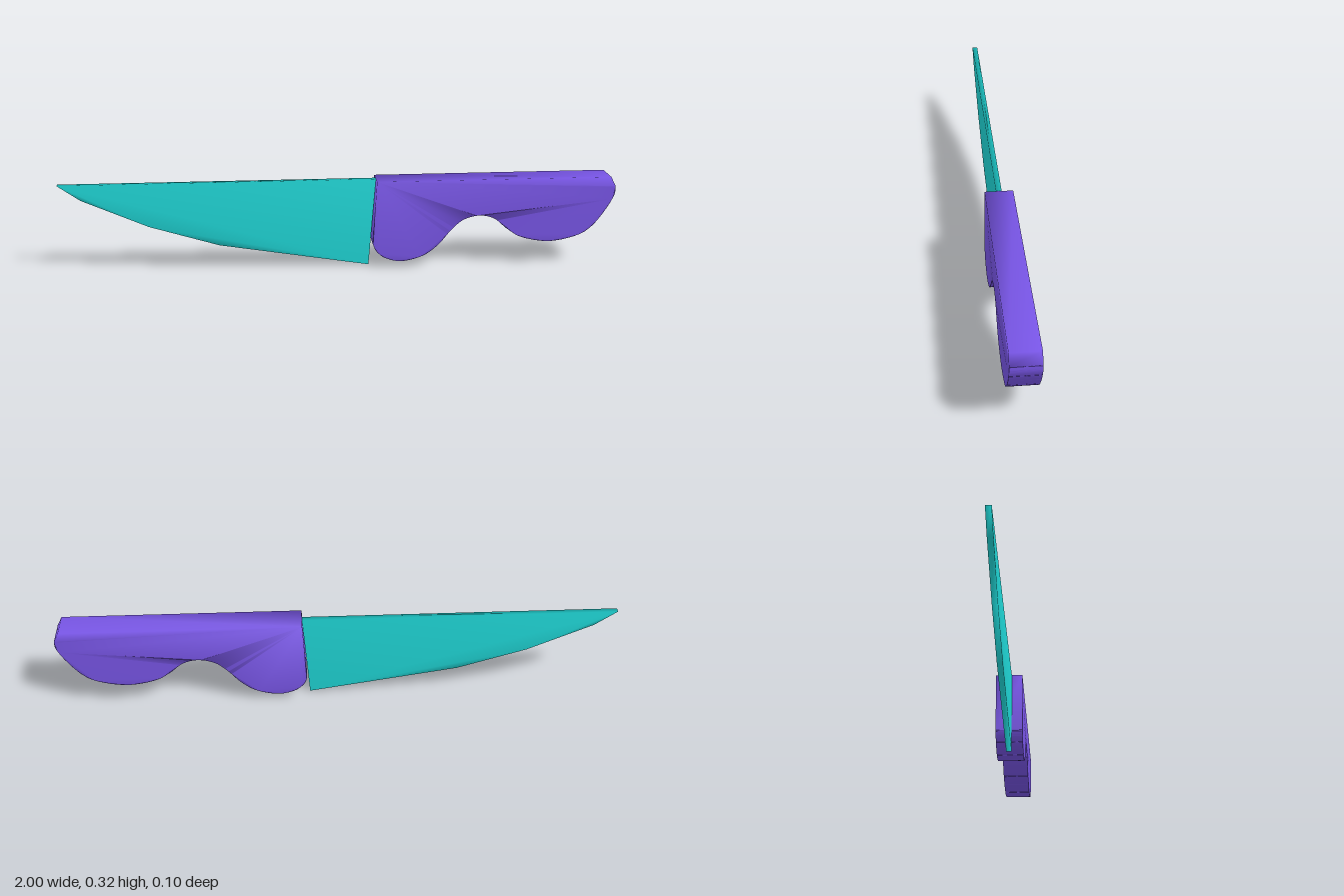
import * as THREE from 'three';
import { mergeVertices } from 'three/addons/utils/BufferGeometryUtils.js';

const TOP = 0.323;

// Extrudes a side outline to a slab centred on z = 0, with soft shading across its edges
function slab(name, shape, thickness, color) {
  let geo = new THREE.ExtrudeGeometry(shape, { depth: thickness, bevelEnabled: false, curveSegments: 24 });
  geo.translate(0, 0, -thickness / 2);
  geo.deleteAttribute('normal');
  geo.deleteAttribute('uv');
  geo = mergeVertices(geo, 1e-5);
  geo.computeVertexNormals();
  const mesh = new THREE.Mesh(geo, new THREE.MeshStandardMaterial({ color }));
  mesh.name = name;
  return mesh;
}

const points = (list) => list.map(([x, y]) => new THREE.Vector2(x, y));

export function createModel() {
  const knife = new THREE.Group();
  knife.name = 'knife';

  // Blade: straight spine, faceted belly rising to the tip
  const blade = new THREE.Shape(points([
    [-1, TOP], [-0.92, 0.267], [-0.685, 0.164], [-0.435, 0.088], [0.105, 0], [0.13, TOP],
  ]));
  knife.add(slab('blade', blade, 0.02, 0x1fd6d6));

  // Handle: flat top, underside curving round two finger swells
  const handle = new THREE.Shape();
  handle.moveTo(0.13, TOP);
  handle.lineTo(0.116, 0.092);
  handle.splineThru(points([
    [0.13, 0.062], [0.165, 0.035], [0.225, 0.023], [0.3, 0.042], [0.355, 0.082], [0.4, 0.135],
    [0.445, 0.174], [0.505, 0.189], [0.56, 0.175], [0.607, 0.136], [0.665, 0.102], [0.765, 0.085],
    [0.865, 0.104], [0.92, 0.138], [0.968, 0.2], [0.997, 0.255], [1, 0.288],
  ]));
  handle.lineTo(0.982, TOP);
  handle.closePath();
  knife.add(slab('handle', handle, 0.1, 0x7855e6));

  return knife;
}
